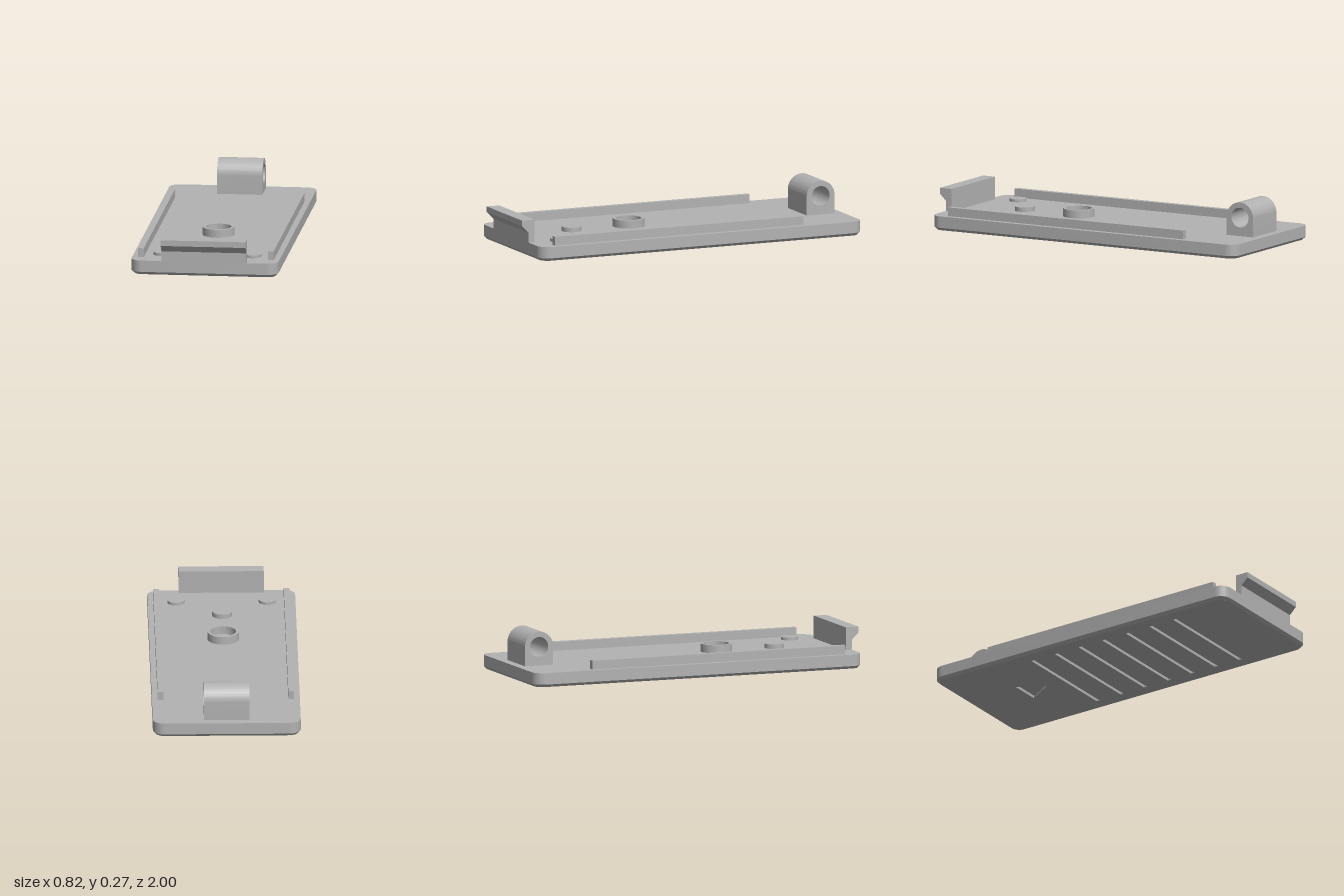
import * as THREE from 'three';
import { toCreasedNormals } from 'three/addons/utils/BufferGeometryUtils.js';

const CHAMFER = 0.016, TOP = 0.08;

export function createModel() {
  const model = new THREE.Group();
  const grey = new THREE.MeshStandardMaterial({ color: 0xb2b2b2 });
  grey.name = 'grey plastic';

  const add = (name, geometry, x = 0, y = 0, z = 0) => {
    const mesh = new THREE.Mesh(geometry, grey);
    mesh.name = name;
    mesh.position.set(x, y, z);
    model.add(mesh);
    return mesh;
  };
  // Plan shapes use (x, -z) and are extruded upwards
  const extrudeUp = (shape, height) => toCreasedNormals(
    new THREE.ExtrudeGeometry(shape, { depth: height, bevelEnabled: false, curveSegments: 24 })
      .rotateX(-Math.PI / 2), 0.6);
  // Side profiles use (z, y) and are extruded across x, centred
  const extrudeAcross = (shape, width) => toCreasedNormals(
    new THREE.ExtrudeGeometry(shape, { depth: width, bevelEnabled: false, curveSegments: 32 })
      .translate(0, 0, -width / 2).rotateY(-Math.PI / 2), 0.6);

  // Rounded outline of the plate, shrunk by an inset
  const outline = (inset) => {
    const w = 0.41 - inset, front = -0.96 + inset, back = 1 - inset, r = 0.065 - inset;
    const s = new THREE.Shape();
    s.absarc(w - r, back - r, r, 0, Math.PI / 2);
    s.absarc(-w + r, back - r, r, Math.PI / 2, Math.PI);
    s.absarc(-w + r, front + r, r, Math.PI, Math.PI * 1.5);
    s.absarc(w - r, front + r, r, Math.PI * 1.5, Math.PI * 2);
    s.closePath();
    return s;
  };
  const polygon = (points) => new THREE.Path(points.map(([x, z]) => new THREE.Vector2(x, -z)));

  // Main plate
  add('plate', extrudeUp(outline(0), TOP - CHAMFER), 0, CHAMFER, 0);

  // Underside skin, cut by grip grooves and an arrow
  const skin = outline(CHAMFER);
  for (let i = 0; i < 7; i++) {
    const z = -0.385 + i * 0.159;
    skin.holes.push(polygon([[-0.32, z - 0.011], [0.32, z - 0.011], [0.32, z + 0.011], [-0.32, z + 0.011]]));
  }
  skin.holes.push(polygon([[-0.09, -0.66], [0.09, -0.66], [0, -0.51]]));
  add('gripUnderside', extrudeUp(skin, CHAMFER));

  // Chamfer strip round the bottom edge
  const lower = outline(CHAMFER).getPoints(12), upper = outline(0).getPoints(12);
  const n = lower.length, positions = [], index = [];
  for (let i = 0; i < n; i++) {
    positions.push(lower[i].x, 0, -lower[i].y, upper[i].x, CHAMFER, -upper[i].y);
    const a = 2 * i, b = 2 * ((i + 1) % n);
    index.push(a, b, b + 1, a, b + 1, a + 1);
  }
  const strip = new THREE.BufferGeometry();
  strip.setAttribute('position', new THREE.Float32BufferAttribute(positions, 3));
  strip.setIndex(index);
  strip.computeVertexNormals();
  add('bottomChamfer', strip);

  // Side rails and small front pads
  for (const side of [1, -1]) {
    add('sideRail', new THREE.BoxGeometry(0.032, 0.049, 1.515), side * 0.362, TOP + 0.0245, 0.1075);
    add('frontPad', new THREE.CylinderGeometry(0.047, 0.047, 0.016, 40), side * 0.253, TOP + 0.008, 0.785);
  }

  // Centre button and ring
  add('centrePad', new THREE.CylinderGeometry(0.055, 0.055, 0.025, 40), 0, TOP + 0.0125, 0.592);
  const ring = new THREE.Shape().absarc(0, 0, 0.088, 0, Math.PI * 2);
  ring.holes.push(new THREE.Path().absarc(0, 0, 0.071, 0, Math.PI * 2));
  add('ring', extrudeUp(ring, 0.045), 0, TOP, 0.245);

  // Hinge lug with a pin hole
  const lug = new THREE.Shape();
  lug.moveTo(-0.085, TOP);
  lug.lineTo(0.085, TOP);
  lug.absarc(0, 0.184, 0.085, 0, Math.PI);
  lug.closePath();
  lug.holes.push(new THREE.Path().absarc(0, 0.184, 0.055, 0, Math.PI * 2));
  add('hingeLug', extrudeAcross(lug, 0.253), 0, 0, -0.867);

  // Front latch with an overhanging hook
  const latch = new THREE.Shape([[0.924, TOP], [0.96, TOP], [0.96, 0.136], [1, 0.175], [1, 0.207], [0.924, 0.207]]
    .map(([z, y]) => new THREE.Vector2(z, y)));
  add('frontLatch', extrudeAcross(latch, 0.473));

  return model;
}
